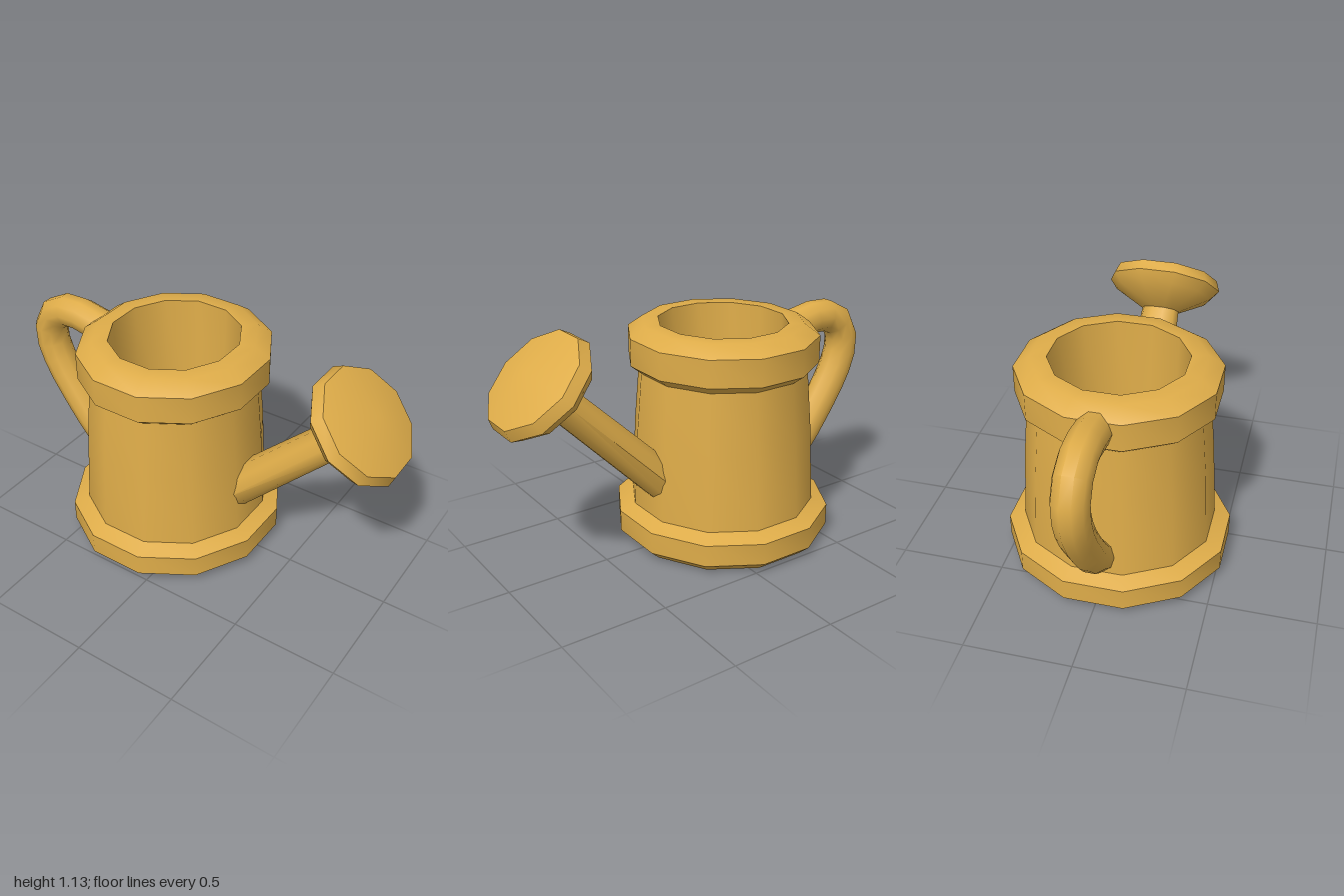
import * as THREE from 'three';
import { toCreasedNormals } from 'three/addons/utils/BufferGeometryUtils.js';

const CREASE = 0.8;

// Faceted lathe; profile radii are measured to the flats, not the corners
function facetedLathe(profile, sides, phiStart) {
  const k = 1 / Math.cos(Math.PI / sides);
  const points = profile.map(([r, y]) => new THREE.Vector2(r * k, y));
  return new THREE.LatheGeometry(points, sides, phiStart);
}

export function createModel() {
  const group = new THREE.Group();
  const ochre = new THREE.MeshStandardMaterial({ color: 0xdeac49 });
  ochre.name = 'ochre';

  function add(name, geometry) {
    const mesh = new THREE.Mesh(toCreasedNormals(geometry, CREASE), ochre);
    mesh.name = name;
    group.add(mesh);
    return mesh;
  }

  // Can: foot, tapered wall, thick rim and hollow inside, in one profile
  const can = facetedLathe([
    [0, 0], [0.47, 0], [0.52, 0.045], [0.52, 0.15], [0.445, 0.18],
    [0.425, 0.55], [0.4, 0.84], [0.45, 0.88], [0.45, 1.01], [0.38, 1.06],
    [0.305, 1.06], [0.28, 0.25], [0, 0.25],
  ], 12, Math.PI / 12);
  can.scale(0.96, 1, 1);
  can.translate(-0.163, 0, 0);
  add('can', can);

  // Spout: upright ring at the can, tilted smaller ring at the sprinkler head
  const spout = new THREE.CylinderGeometry(1, 1, 1, 10, 1, true);
  const pos = spout.attributes.position;
  for (let i = 0; i < pos.count; i++) {
    const x = pos.getX(i), z = pos.getZ(i);
    if (pos.getY(i) > 0) pos.setXYZ(i, 0.69 + x * 0.06, 0.83 - x * 0.056, z * 0.095);
    else pos.setXYZ(i, 0.22, 0.36 - x * 0.132, z * 0.13);
  }
  spout.computeVertexNormals();
  add('spout', spout);

  // Sprinkler head with a shallow domed face
  const head = facetedLathe([
    [0, -0.19], [0.078, -0.19], [0.226, -0.1], [0.262, -0.053], [0.2425, 0], [0, 0.06],
  ], 10, 0);
  head.scale(1, 1, 1.04);
  head.rotateZ(-0.75);
  head.translate(0.8175, 0.965, 0);
  add('sprinklerHead', head);

  // Handle: loop from the rim down to the lower wall
  const path = new THREE.CatmullRomCurve3([
    [-0.54, 0.95], [-0.63, 0.965], [-0.75, 0.985], [-0.845, 0.965], [-0.9, 0.915],
    [-0.925, 0.83], [-0.89, 0.69], [-0.745, 0.455], [-0.63, 0.31], [-0.5, 0.21],
  ].map(([x, y]) => new THREE.Vector3(x, y, 0)));
  add('handle', new THREE.TubeGeometry(path, 14, 0.082, 10, false));

  return group;
}
